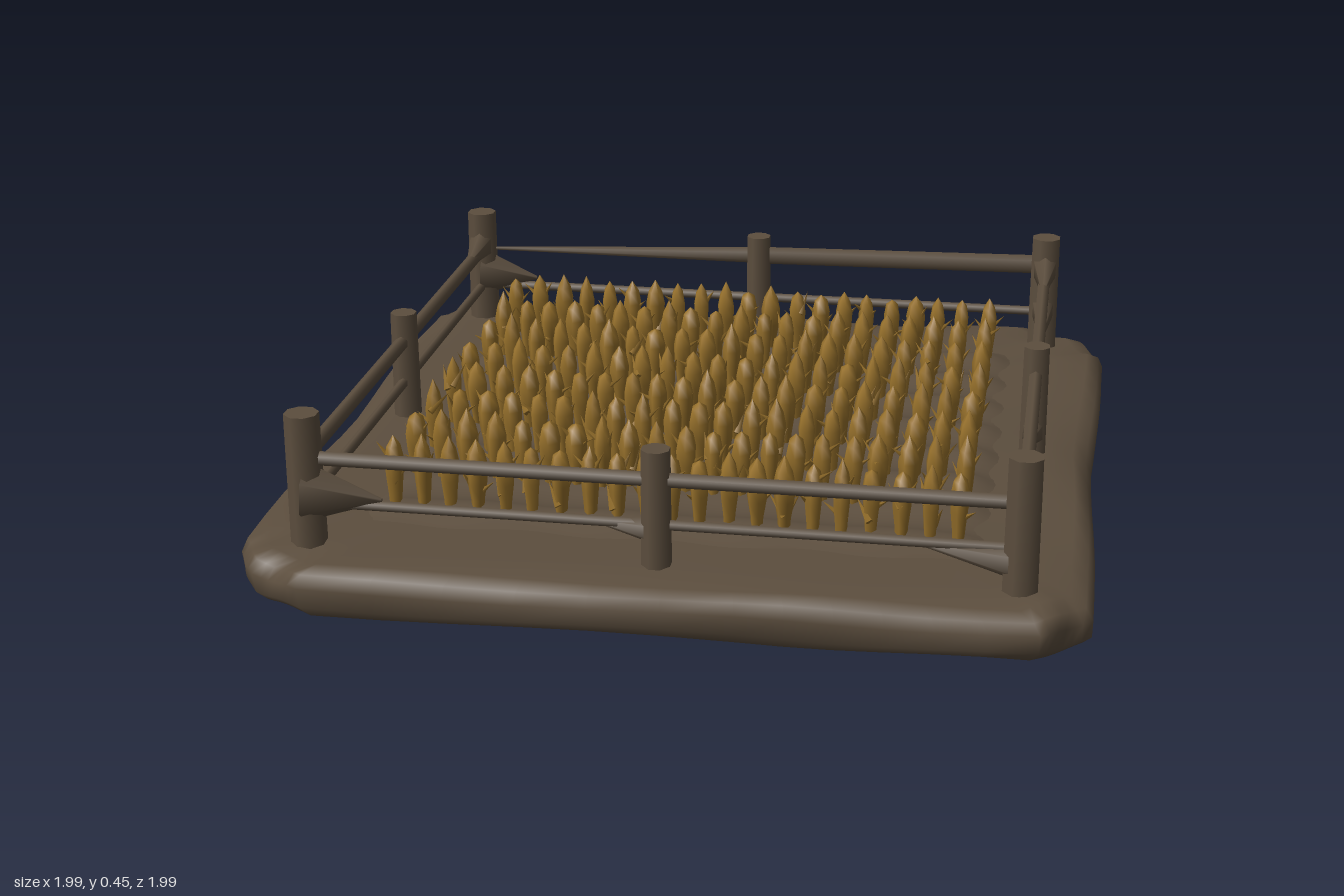
import * as THREE from 'three';
import { mergeGeometries } from 'three/addons/utils/BufferGeometryUtils.js';

const soil = new THREE.MeshStandardMaterial({ color: 0x5c4e3e });
soil.name = 'brown earth and wood';
const straw = new THREE.MeshStandardMaterial({ color: 0x96702b });
straw.name = 'golden straw';

// Small seeded generator
let seed = 7;
const rand = () => (seed = (seed * 16807) % 2147483647) / 2147483647;
const jitter = (s) => (rand() - 0.5) * 2 * s;

function add(group, geometry, material, name) {
  const mesh = new THREE.Mesh(geometry, material);
  mesh.name = name;
  group.add(mesh);
  return mesh;
}

// Lumpy slab lofted from a chamfered outline
function slabGeometry() {
  const outline = [[-0.88, -0.97], [-0.4, -0.965], [0.2, -0.975], [0.78, -1], [0.93, -0.92], [1, -0.8],
    [0.975, 0], [0.985, 0.86], [0.87, 0.965], [0.2, 0.975], [-0.8, 0.99], [-0.93, 0.92], [-1, 0.8],
    [-0.98, 0], [-0.985, -0.87]];
  const steps = 6, n = outline.length * steps;
  const rings = [[0.001, 0.002], [0.93, 0.003], [0.975, 0.02], [0.996, 0.045], [1, 0.09], [0.985, 0.118],
    [0.95, 0.132], [0.86, 0.138], [0.5, 0.14], [0.001, 0.14]];
  const pos = [], index = [];
  rings.forEach(([s, y], r) => {
    for (let j = 0; j < n; j++) {
      const k = Math.floor(j / steps), t = (j % steps) / steps;
      const a = outline[k], b = outline[(k + 1) % outline.length];
      const edge = r > 1 && r < 7 ? 1 : 0;
      const wave = edge * 0.006 * Math.sin(j * 0.9 + r * 0.8);
      pos.push((a[0] + (b[0] - a[0]) * t) * (s + wave * 0.6), y + wave, (a[1] + (b[1] - a[1]) * t) * (s + wave * 0.6));
    }
  });
  for (let r = 0; r < rings.length - 1; r++) {
    for (let j = 0; j < n; j++) {
      const a = r * n + j, b = r * n + (j + 1) % n;
      index.push(a, a + n, b, b, a + n, b + n);
    }
  }
  const g = new THREE.BufferGeometry();
  g.setAttribute('position', new THREE.Float32BufferAttribute(pos, 3));
  g.setIndex(index);
  g.computeVertexNormals();
  return g;
}

const rowZ = [-0.63, -0.45, -0.275, -0.095, 0.08, 0.255, 0.43, 0.61];

// Ploughed soil with a soft ridge under each row
function fieldGeometry() {
  const g = new THREE.PlaneGeometry(1.52, 1.5, 40, 60).rotateX(-Math.PI / 2);
  const p = g.attributes.position;
  for (let i = 0; i < p.count; i++) {
    const x = p.getX(i), z = p.getZ(i);
    const border = Math.min(1, (0.76 - Math.abs(x)) / 0.08, (0.75 - Math.abs(z)) / 0.08);
    const d = Math.min(...rowZ.map((r) => Math.abs(z - r)));
    const ridge = 0.018 * Math.exp(-((d / 0.045) ** 2)) + 0.003 * Math.sin(x * 19 + z * 7);
    p.setY(i, 0.13 + border * (0.014 + ridge));
  }
  g.computeVertexNormals();
  return g;
}

// Tapered bar between two points; tall stretches its section vertically
function bar(from, to, r0, r1, sides = 6, tall = 1) {
  const a = new THREE.Vector3(...from), b = new THREE.Vector3(...to);
  const dir = b.clone().sub(a);
  const g = new THREE.CylinderGeometry(r1, r0, dir.length(), sides);
  g.rotateX(Math.PI / 2).scale(1, tall, 1);
  const m = new THREE.Matrix4().lookAt(b, a, new THREE.Vector3(0, 1, 0));
  return g.applyMatrix4(m).translate(...a.add(b).multiplyScalar(0.5).toArray());
}

// One ear of grain with a pair of small side leaves
function earGeometry(x, z) {
  const h = 0.325 + jitter(0.015), w = 0.027 + jitter(0.003);
  const profile = [[0.015, 0.14], [0.018, 0.18], [w * 0.9, 0.225], [w, 0.265], [w * 0.72, 0.3], [0.0005, h]];
  const body = new THREE.LatheGeometry(profile.map((p) => new THREE.Vector2(...p)), 6);
  const parts = [body.rotateY(rand() * 6).scale(0.9, 1, 1.25)];
  for (const side of [-1, 1]) {
    const leaf = new THREE.ConeGeometry(0.011, 0.07, 4);
    leaf.rotateZ(-side * (0.5 + rand() * 0.5)).rotateY(jitter(1.2));
    parts.push(leaf.translate(side * 0.018, 0.2 + rand() * 0.09, jitter(0.012)));
  }
  return mergeGeometries(parts).translate(x, 0, z);
}

export function createModel() {
  const model = new THREE.Group();
  model.name = 'fencedGrainField';
  add(model, slabGeometry(), soil, 'earthBase');
  add(model, fieldGeometry(), soil, 'ploughedSoil');

  // Rows of grain
  const crop = new THREE.Group();
  crop.name = 'grainRows';
  model.add(crop);
  for (const z of rowZ) {
    const ears = [];
    for (let i = 0; i < 21; i++) ears.push(earGeometry(-0.67 + i * 0.067 + jitter(0.005), z + jitter(0.006)));
    add(crop, mergeGeometries(ears), straw, 'grainRow');
  }

  // Fence posts, taller at the corners
  const fence = new THREE.Group();
  fence.name = 'fence';
  model.add(fence);
  const P = 0.82;
  for (const x of [-P, 0, P]) {
    for (const z of [-P, 0, P]) {
      if (!x && !z) continue;
      const corner = x && z;
      const top = corner ? 0.455 : 0.42, r = corner ? 0.043 : 0.036;
      const post = new THREE.CylinderGeometry(r * 0.95, r, top - 0.1, 8).rotateY(Math.PI / 8);
      add(fence, post.translate(x, (top + 0.1) / 2, z), soil, corner ? 'cornerPost' : 'middlePost');
    }
  }

  // Two rails on each half side
  for (const s of [-1, 1]) {
    for (const h of [-1, 1]) {
      for (const y of [0.235, 0.345]) {
        const r = y > 0.3 ? 0.018 : 0.013;
        add(fence, bar([s * P, y, h * P], [s * P, y, 0], r, r), soil, 'sideRail');
        if (s > 0 || y < 0.3) add(fence, bar([h * P, y, s * P], [0, y, s * P], r, r), soil, 'crossRail');
      }
    }
  }
  // Warped upper rail at the back
  add(fence, bar([-0.78, 0.345, -P], [0, 0.362, -P], 0.003, 0.014, 6, 1.7), soil, 'backRail');
  add(fence, bar([0, 0.362, -P], [P, 0.375, -P], 0.014, 0.015, 6, 1.8), soil, 'backRail');

  // Tapered braces where rails meet posts
  const braces = [
    [[P, 0.39, P], [P, 0.35, 0.62], 0.055], [[P, 0.37, -P], [P, 0.345, -0.64], 0.05],
    [[P, 0.25, -P], [P, 0.23, -0.58], 0.045], [[P, 0.19, 0], [P, 0.235, 0.18], 0.04],
    [[-P, 0.26, P], [-0.64, 0.25, P], 0.075], [[P, 0.2, P], [0.6, 0.23, P], 0.045],
    [[-P, 0.27, -P], [-0.66, 0.26, -P], 0.07], [[-P, 0.36, -P], [-P, 0.345, -0.64], 0.05],
    [[-P, 0.23, P], [-P, 0.235, 0.64], 0.045], [[0, 0.22, P], [-0.14, 0.235, P], 0.035],
  ];
  for (const [a, b, r] of braces) add(fence, bar(a, b, r * 0.8, 0.004, 6, 1.25), soil, 'brace');
  return model;
}
